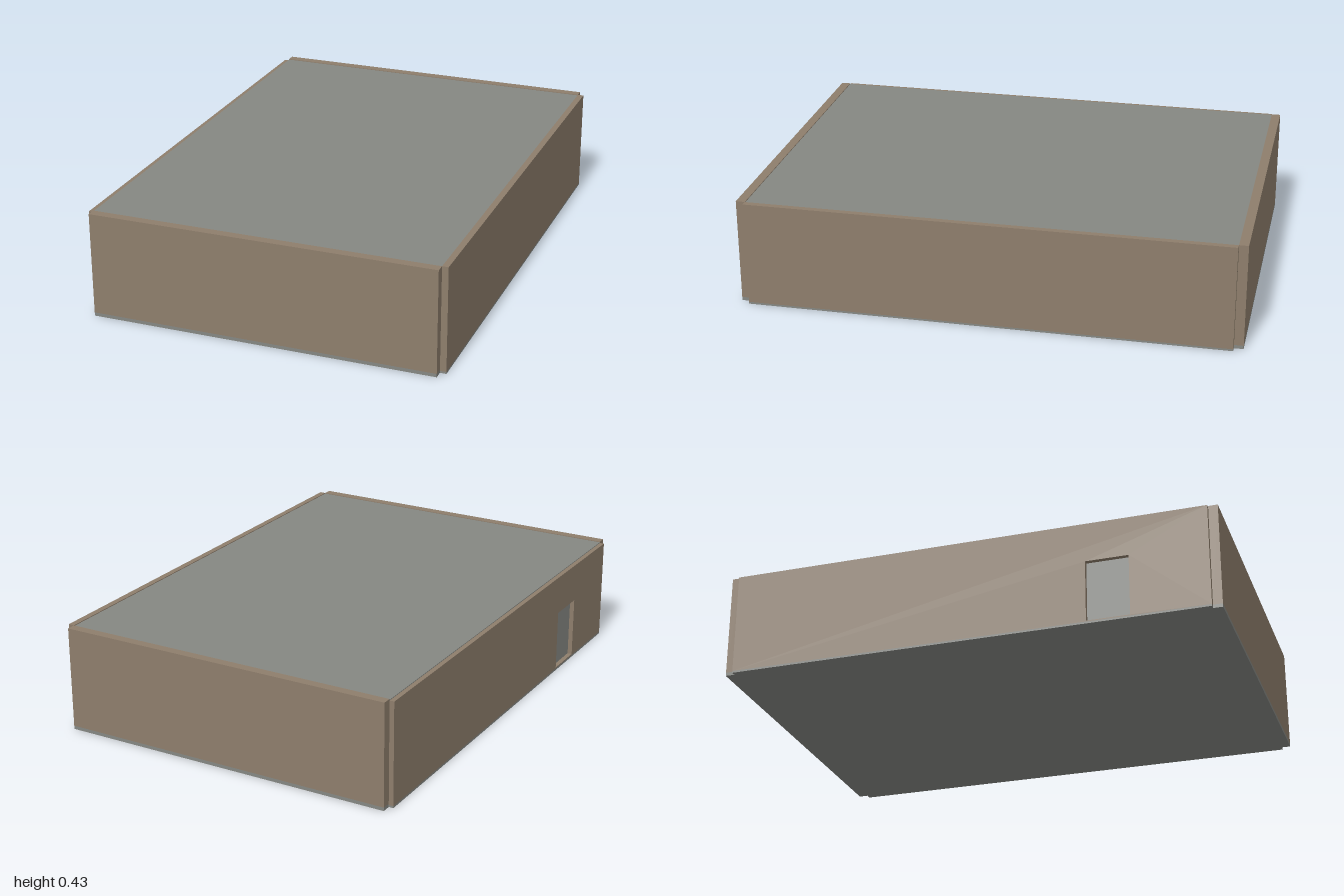
import * as THREE from 'three';

export function createModel() {
  const model = new THREE.Group();
  const wallMat = new THREE.MeshStandardMaterial({ color: 0x8e7e6c });
  wallMat.name = 'brown wall';
  const slabMat = new THREE.MeshStandardMaterial({ color: 0x858782 });
  slabMat.name = 'grey concrete';

  // Box given by its lower and upper corners
  function block(name, mat, [x0, y0, z0], [x1, y1, z1]) {
    const mesh = new THREE.Mesh(new THREE.BoxGeometry(x1 - x0, y1 - y0, z1 - z0), mat);
    mesh.position.set((x0 + x1) / 2, (y0 + y1) / 2, (z0 + z1) / 2);
    mesh.name = name;
    model.add(mesh);
  }

  const X0 = -0.703, X1 = 0.697, Z = 0.963; // core footprint
  const OUT_X = 0.722, H = 0.43, FOOT = 0.014, SIDE_FOOT = 0.008;

  // Concrete core: its top is the flat roof, its underside the floor
  block('core', slabMat, [X0, 0, -Z], [X1, 0.427, Z]);

  // Front and back walls on their slab edges
  for (const [name, z0, z1] of [['front', Z, 1], ['back', -1, -Z]]) {
    block(name + 'Wall', wallMat, [X0, FOOT, z0], [X1, H, z1]);
    block(name + 'SlabEdge', slabMat, [X0, 0, z0], [X1, FOOT, z1]);
  }

  // Plain side wall
  block('leftWall', wallMat, [X1, SIDE_FOOT, -Z], [OUT_X, H, Z]);
  block('leftSlabEdge', slabMat, [X1, 0, -Z], [OUT_X, SIDE_FOOT, Z]);

  // Side wall with a doorway, slightly lower than the others
  const shape = new THREE.Shape();
  shape.moveTo(-Z, SIDE_FOOT).lineTo(Z, SIDE_FOOT).lineTo(Z, 0.424).lineTo(-Z, 0.424).closePath();
  const door = new THREE.Path();
  door.moveTo(0.485, 0.012).lineTo(0.485, 0.262).lineTo(0.655, 0.262).lineTo(0.655, 0.012).closePath();
  shape.holes.push(door);
  const depth = X0 + OUT_X;
  const doorWall = new THREE.Mesh(
    new THREE.ExtrudeGeometry(shape, { depth, bevelEnabled: false }), wallMat);
  doorWall.rotation.y = -Math.PI / 2; // shape x runs along z, depth runs outward
  doorWall.position.x = X0;
  doorWall.name = 'doorwayWall';
  model.add(doorWall);
  block('rightSlabEdge', slabMat, [-OUT_X, 0, -Z], [X0, SIDE_FOOT, Z]);

  return model;
}
